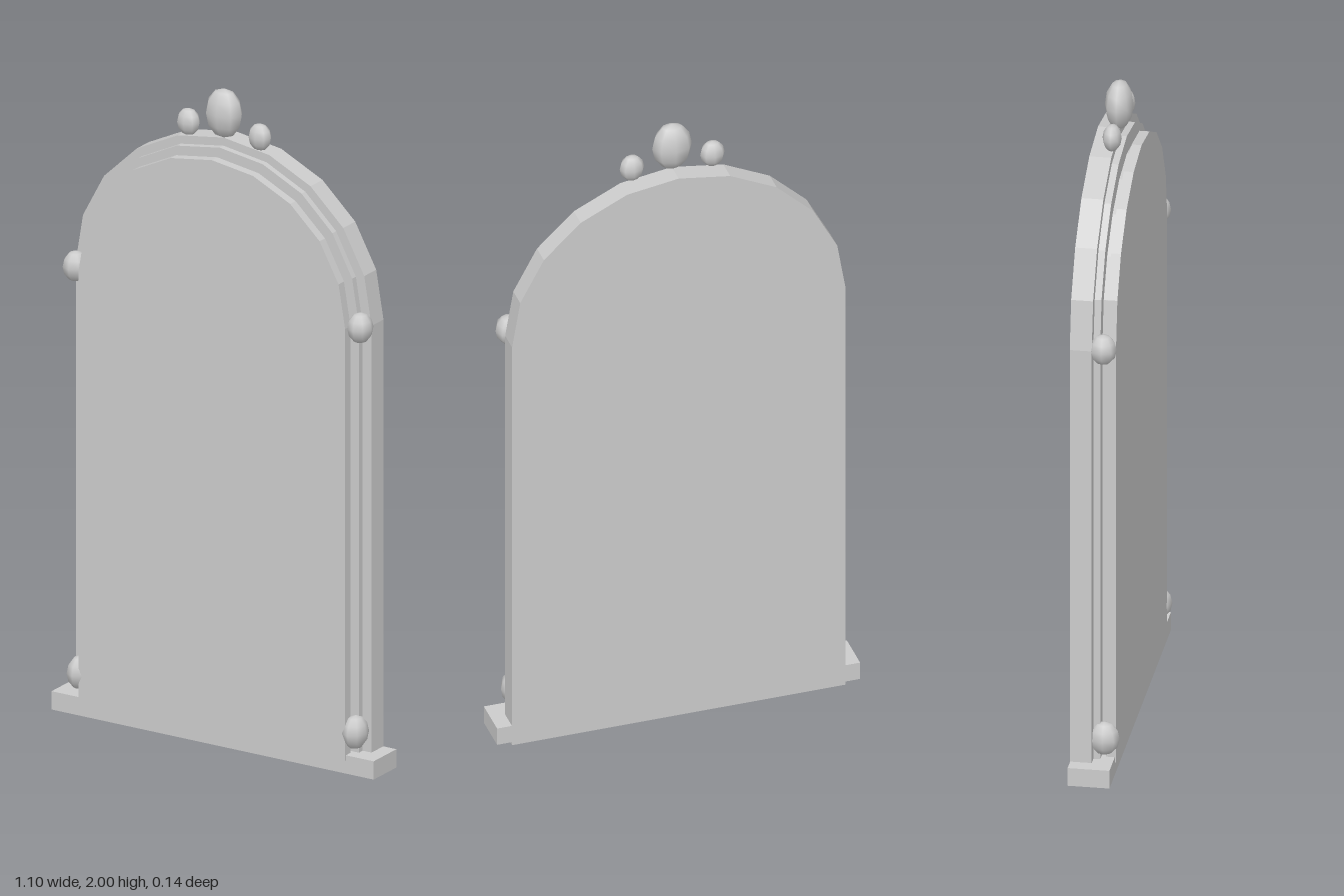
import * as THREE from 'three';

const material = new THREE.MeshStandardMaterial({ color: 0xcccccc });

// Arched slab: straight sides, half-ellipse top in ten straight segments
function archSlab(name, halfWidth, bottom, top, back, front) {
  const spring = 1.372;
  const shape = new THREE.Shape();
  shape.moveTo(-halfWidth, bottom);
  shape.lineTo(halfWidth, bottom);
  for (let i = 0; i <= 10; i++) {
    const a = (i / 10) * Math.PI;
    shape.lineTo(halfWidth * Math.cos(a), spring + (top - spring) * Math.sin(a));
  }
  const geometry = new THREE.ExtrudeGeometry(shape, { depth: front - back, bevelEnabled: false });
  geometry.translate(0, 0, back);
  const mesh = new THREE.Mesh(geometry, material);
  mesh.name = name;
  return mesh;
}

// Low-poly ellipsoid ornament
function bead(name, position, radii) {
  const geometry = new THREE.SphereGeometry(1, 8, 6);
  geometry.scale(...radii);
  const mesh = new THREE.Mesh(geometry, material);
  mesh.name = name;
  mesh.position.set(...position);
  return mesh;
}

export function createModel() {
  const model = new THREE.Group();
  model.name = 'archedPanel';

  // Stepped layers from back to front
  model.add(
    archSlab('backPanel', 0.505, 0, 1.85, -0.07, -0.006),
    archSlab('middleFrame', 0.475, 0.03, 1.825, -0.006, 0.014),
    archSlab('recess', 0.435, 0.04, 1.77, 0.014, 0.028),
    archSlab('frontPanel', 0.455, 0.05, 1.8, 0.028, 0.057)
  );

  // Base ledge
  const base = new THREE.Mesh(new THREE.BoxGeometry(1.1, 0.056, 0.122), material);
  base.name = 'base';
  base.position.set(0, 0.038, -0.008);
  model.add(base);

  // Crown finial and mirrored ornaments
  model.add(bead('crownFinial', [0, 1.925, -0.008], [0.06, 0.075, 0.042]));
  for (const [side, s] of [['left', 1], ['right', -1]]) {
    model.add(
      bead(side + 'CrownBead', [s * 0.122, 1.875, -0.009], [0.037, 0.041, 0.028]),
      bead(side + 'ShoulderBead', [s * 0.486, 1.372, 0.024], [0.038, 0.046, 0.04]),
      bead(side + 'FootBead', [s * 0.47, 0.132, 0.025], [0.037, 0.051, 0.045])
    );
  }
  return model;
}
